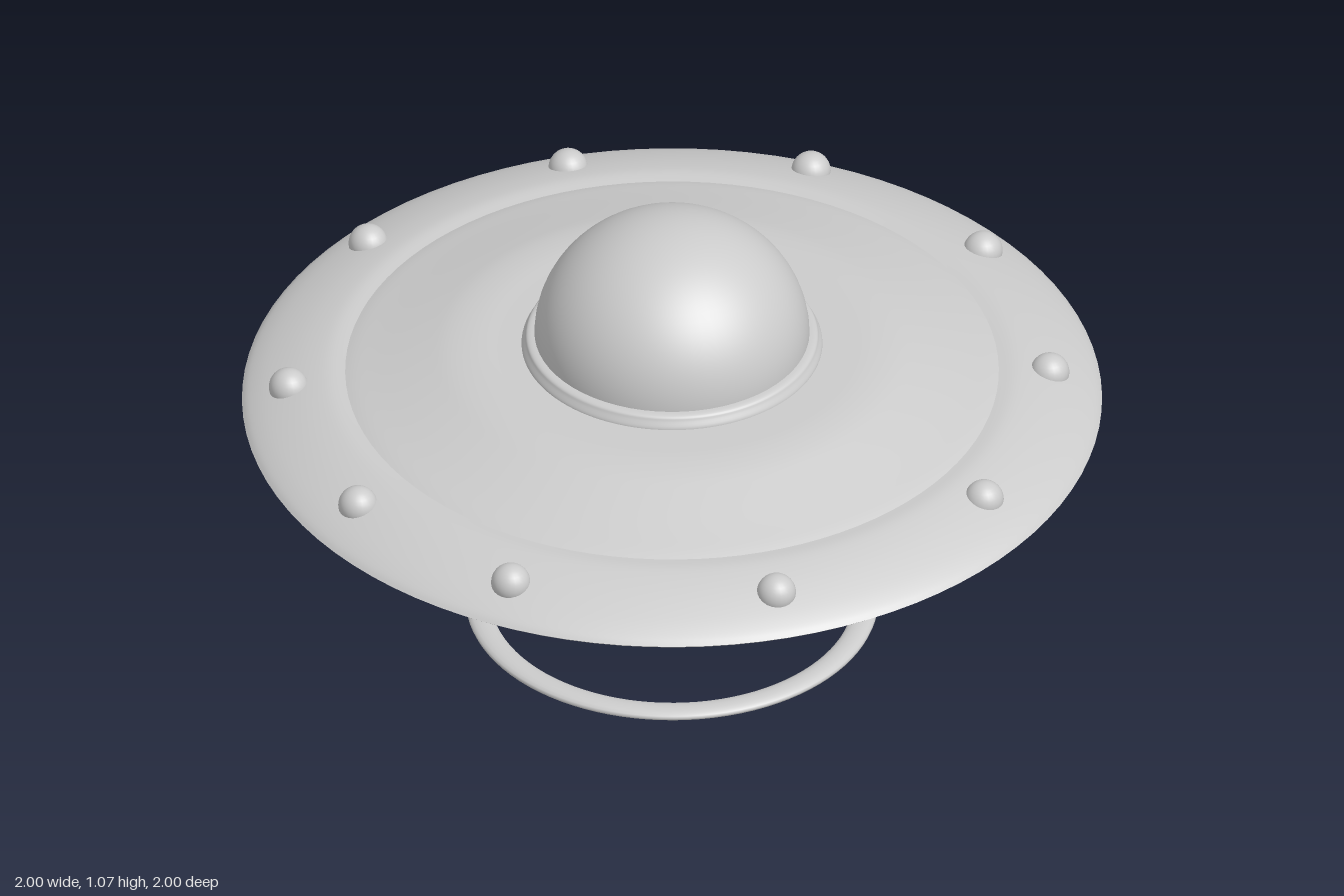
import * as THREE from 'three';

const material = new THREE.MeshStandardMaterial({ color: 0xcccccc, side: THREE.DoubleSide });

function add(group, name, geometry) {
  const mesh = new THREE.Mesh(geometry, material);
  mesh.name = name;
  group.add(mesh);
  return mesh;
}

// Revolve a profile of [radius, height] pairs, smoothed by a spline if asked
function revolve(points, smooth = 0) {
  let profile = points.map(([r, y]) => new THREE.Vector2(r, y));
  if (smooth) profile = new THREE.SplineCurve(profile).getPoints(smooth);
  return new THREE.LatheGeometry(profile, 96);
}

export function createModel() {
  const model = new THREE.Group();
  model.name = 'flyingSaucer';

  // Hull: separate sections keep the edges between them sharp
  const hull = new THREE.Group();
  hull.name = 'hull';
  model.add(hull);
  add(hull, 'lowerHull', revolve([[0.35, 0.296], [0.375, 0.304], [0.55, 0.378], [0.75, 0.461], [0.9, 0.528], [0.97, 0.566], [1, 0.588]], 28));
  add(hull, 'outerDeck', revolve([[1, 0.588], [0.985, 0.602], [0.95, 0.622], [0.9, 0.643], [0.85, 0.659], [0.8, 0.669], [0.76, 0.667]], 24));
  add(hull, 'innerDeck', revolve([[0.76, 0.667], [0.735, 0.676], [0.68, 0.692], [0.58, 0.722], [0.52, 0.738], [0.46, 0.745], [0.4, 0.745], [0.345, 0.745]], 28));

  // Underside: flat lip and a conical well with a flat ceiling
  add(hull, 'bottomLip', revolve([[0.31, 0.295], [0.35, 0.296]]));
  add(hull, 'wellWall', revolve([[0.165, 0.475], [0.31, 0.295]]));
  add(hull, 'wellCeiling', revolve([[0, 0.475], [0.165, 0.475]]));

  // Collar and dome
  add(model, 'domeCollar', revolve([[0.35, 0.742], [0.349, 0.75], [0.342, 0.763], [0.338, 0.771], [0.328, 0.775], [0.31, 0.776]], 16));
  const dome = add(model, 'dome', new THREE.SphereGeometry(0.32, 64, 24, 0, Math.PI * 2, 0, Math.PI / 2));
  dome.scale.y = 0.297 / 0.32;
  dome.position.y = 0.773;

  // Lights around the deck, [x, z]
  const lights = [
    [0, -0.885], [0.54, -0.72], [0.837, -0.302], [0.853, 0.211], [0.567, 0.66],
    [0, 0.89], [-0.583, 0.682], [-0.84, 0.286], [-0.866, -0.214], [-0.53, -0.72],
  ];
  const bulb = new THREE.SphereGeometry(0.046, 24, 16);
  lights.forEach(([x, z], i) => {
    add(model, `deckLight${i + 1}`, bulb).position.set(x, 0.642, z);
  });

  // Beam rings: [outer radius, tube radius, half height, centre height]
  const rings = [[0.48, 0.03, 0.014, 0.014], [0.365, 0.022, 0.009, 0.147], [0.275, 0.016, 0.006, 0.262]];
  rings.forEach(([outer, tube, half, y], i) => {
    const geometry = new THREE.TorusGeometry(outer - tube, tube, 16, 96);
    geometry.rotateX(Math.PI / 2);
    geometry.scale(1, half / tube, 1);
    add(model, `beamRing${i + 1}`, geometry).position.y = y;
  });

  return model;
}
